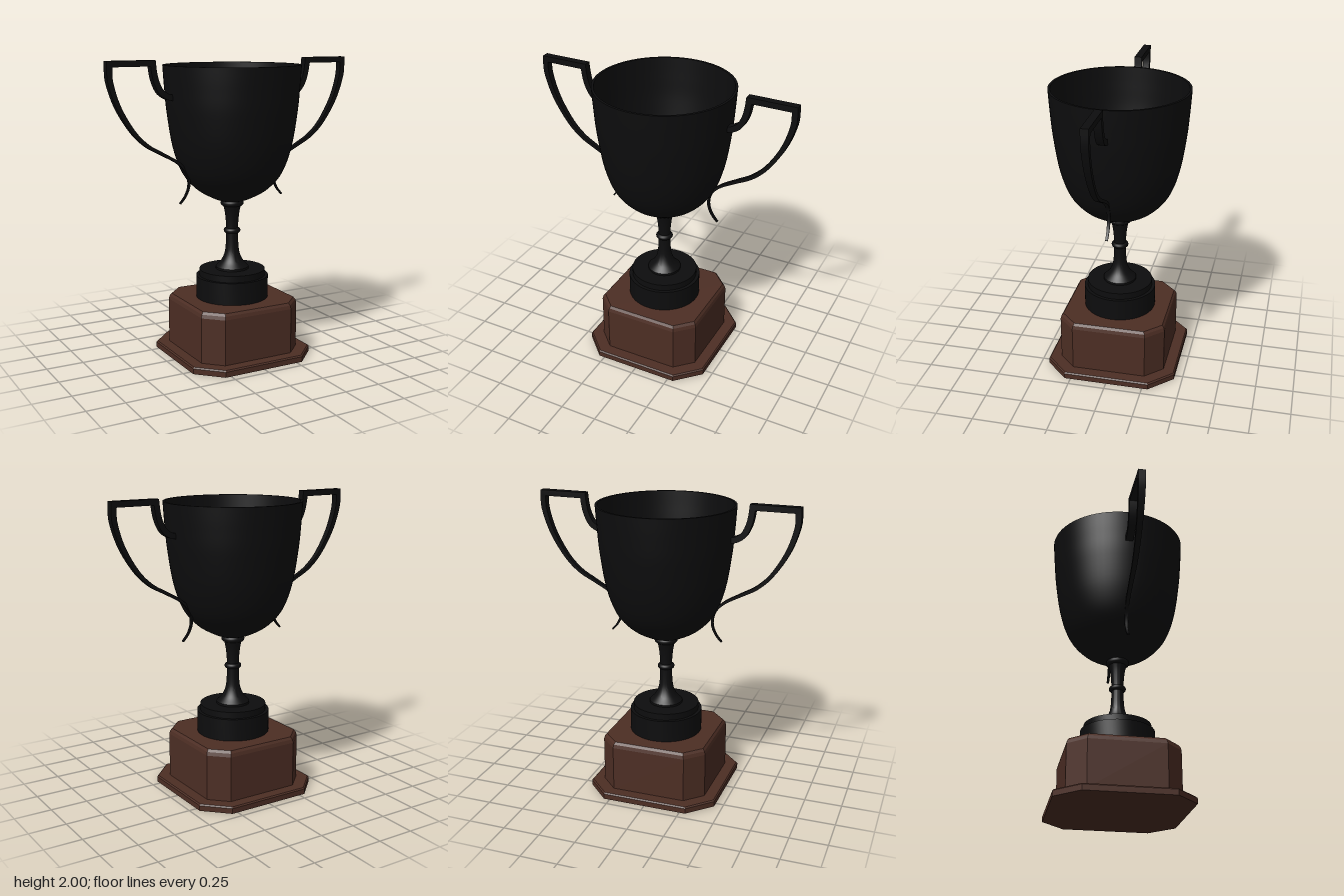
import * as THREE from 'three';
import { toCreasedNormals } from 'three/addons/utils/BufferGeometryUtils.js';

const metal = new THREE.MeshStandardMaterial({ color: 0x0d0d0e });
metal.name = 'black metal';
const wood = new THREE.MeshStandardMaterial({ color: 0x4d2e24 });
wood.name = 'brown wood';

const v2 = (p) => new THREE.Vector2(p[0], p[1]);

function mesh(name, geometry, material) {
  const m = new THREE.Mesh(geometry, material);
  m.name = name;
  return m;
}

// Skin a list of equal-length rings (counter-clockwise about the sweep), capped at both ends
function loft(rings, crease) {
  const n = rings[0].length;
  const last = rings.length - 1;
  const index = [];
  for (let i = 0; i < last; i++) {
    for (let j = 0; j < n; j++) {
      const a = i * n + j, b = i * n + (j + 1) % n;
      index.push(a, b, b + n, a, b + n, a + n);
    }
  }
  for (let j = 1; j < n - 1; j++) {
    index.push(0, j + 1, j, last * n, last * n + j, last * n + j + 1);
  }
  const g = new THREE.BufferGeometry();
  g.setAttribute('position', new THREE.Float32BufferAttribute(rings.flat(2), 3));
  g.setIndex(index);
  return toCreasedNormals(g, crease);
}

// Square with cut corners: h = half width, c = half length of the long flats
const octagon = (y, h, c) =>
  [[-c, h], [c, h], [h, c], [h, -c], [c, -h], [-c, -h], [-h, -c], [-h, c]].map(([x, z]) => [x, y, z]);

const turned = (profile, segments = 64) =>
  toCreasedNormals(new THREE.LatheGeometry(profile, segments), 0.5);

// Strap handle: curl off the bowl, mitred flat top, then a tapering S-shaped tail
function handleGeometry() {
  const curve = (pts, count) => new THREE.SplineCurve(pts.map(v2)).getSpacedPoints(count);
  const inner = curve([[0.435, 1.76], [0.475, 1.768], [0.52, 1.80], [0.551, 1.86], [0.566, 1.92], [0.573, 1.979]], 16);
  const outer = curve([[0.861, 1.979], [0.858, 1.87], [0.805, 1.71], [0.71, 1.555], [0.615, 1.462],
    [0.51, 1.402], [0.40, 1.338], [0.338, 1.268], [0.322, 1.19], [0.345, 1.12], [0.388, 1.067]], 56);
  const path = [...inner, ...outer];
  const rings = path.map((p, i) => {
    const before = p.clone().sub(path[Math.max(i - 1, 0)]).normalize();
    const after = path[Math.min(i + 1, path.length - 1)].clone().sub(p).normalize();
    const t = before.clone().add(after).normalize();
    const miter = Math.max(t.dot(after), t.dot(before));
    const k = Math.max(0, (i - inner.length) / (outer.length - 1));
    const w = THREE.MathUtils.lerp(0.019, 0.005, k) / miter;
    const d = THREE.MathUtils.lerp(0.025, 0.008, k);
    return [[1, -1], [1, 1], [-1, 1], [-1, -1]].map(([s, z]) => [p.x - t.y * w * s, p.y + t.x * w * s, z * d]);
  });
  return loft(rings, 0.6);
}

export function createModel() {
  const trophy = new THREE.Group();
  trophy.name = 'trophy';

  // Wooden plinth
  trophy.add(mesh('basePlate', loft([
    octagon(0, 0.445, 0.29), octagon(0.036, 0.445, 0.29), octagon(0.045, 0.437, 0.286),
  ], 0.2), wood));
  trophy.add(mesh('plinth', loft([
    octagon(0.04, 0.364, 0.25), octagon(0.352, 0.364, 0.25), octagon(0.375, 0.358, 0.246), octagon(0.391, 0.346, 0.239),
  ], 0.2), wood));

  // Stepped round foot
  trophy.add(mesh('footDrum', turned([[0, 0.385], [0.245, 0.385], [0.245, 0.541], [0, 0.541]].map(v2)), metal));
  trophy.add(mesh('footDisc', turned([[0, 0.535], [0.223, 0.535], [0.223, 0.585], [0, 0.585]].map(v2)), metal));

  // Flared stem with a bead and a collar
  const stem = new THREE.SplineCurve([[0.112, 0.6], [0.075, 0.64], [0.052, 0.69], [0.043, 0.75], [0.04, 0.85],
    [0.043, 0.92], [0.05, 0.98], [0.06, 1.025]].map(v2)).getPoints(32);
  trophy.add(mesh('stem', turned([v2([0, 0.58]), v2([0.112, 0.58]), ...stem, v2([0, 1.05])], 48), metal));
  const bead = new THREE.TorusGeometry(0.039, 0.018, 12, 48);
  bead.rotateX(Math.PI / 2);
  bead.translate(0, 0.85, 0);
  trophy.add(mesh('stemBead', bead, metal));
  const collar = new THREE.TorusGeometry(0.057, 0.021, 12, 48);
  collar.rotateX(Math.PI / 2);
  collar.translate(0, 1.04, 0);
  trophy.add(mesh('stemCollar', collar, metal));

  // Hollow bowl: outer wall up to the rim, then back down inside
  const wall = new THREE.SplineCurve([[0, 1.045], [0.06, 1.052], [0.14, 1.08], [0.245, 1.143], [0.335, 1.25],
    [0.395, 1.42], [0.432, 1.65], [0.447, 1.82], [0.456, 1.96]].map(v2)).getPoints(48);
  const inside = wall.map((p) => new THREE.Vector2(p.x * 0.965, 1.96 - (1.96 - p.y) * 0.98)).reverse();
  wall[0].x = 0;
  inside[inside.length - 1].x = 0;
  trophy.add(mesh('bowl', turned([...wall, ...inside]), metal));

  // Pair of handles
  const strap = handleGeometry();
  for (const [name, angle] of [['leftHandle', 0], ['rightHandle', Math.PI]]) {
    const handle = mesh(name, strap, metal);
    handle.rotation.y = angle;
    trophy.add(handle);
  }
  return trophy;
}
